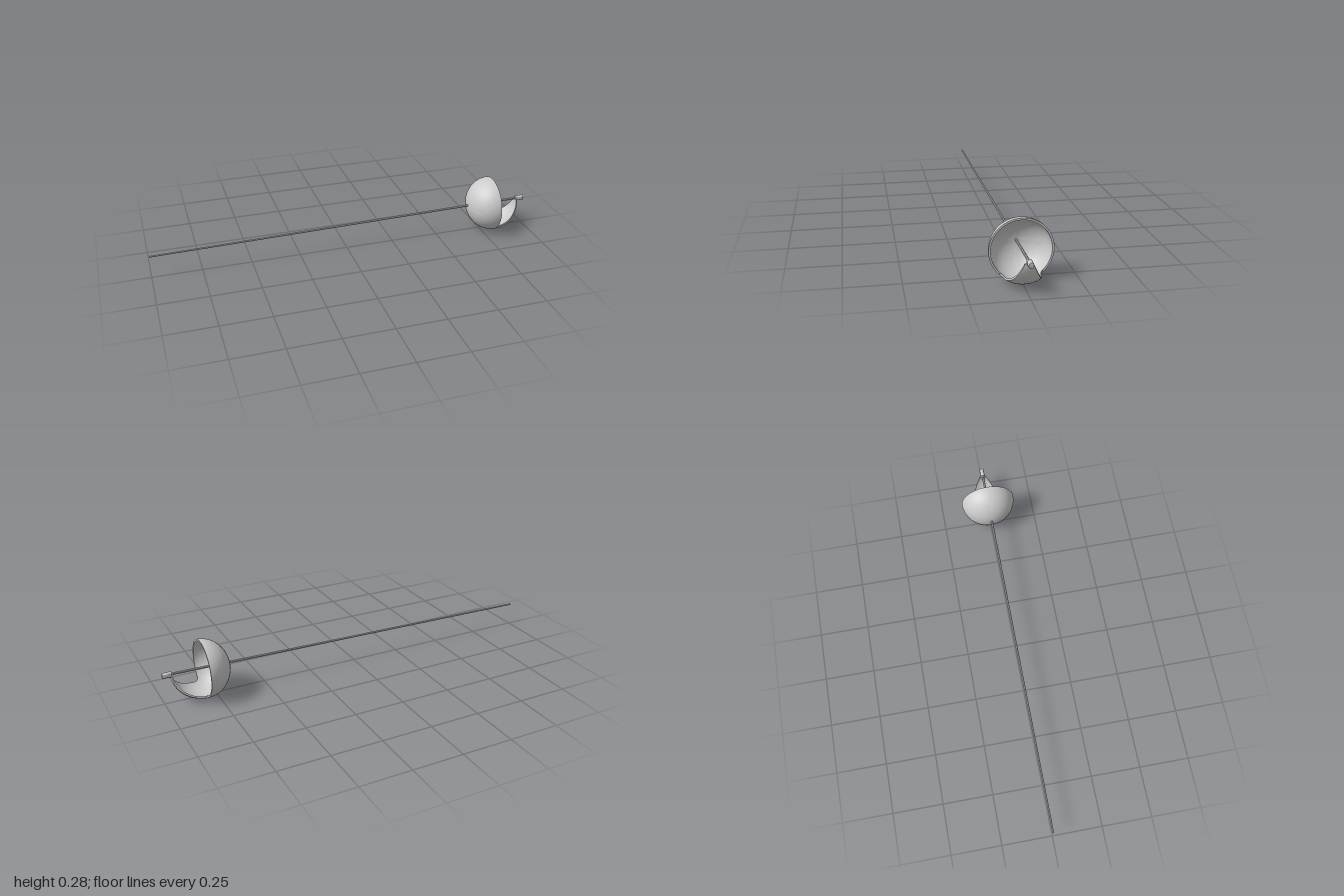
import * as THREE from 'three';
import { toCreasedNormals } from 'three/addons/utils/BufferGeometryUtils.js';

const material = new THREE.MeshStandardMaterial({ color: 0xcccccc });
const RIM_X = 0.807, CENTRE_Y = 0.143, RADIUS = 0.142, WALL = 0.009;
const TILT = 0.016; // slope of the blade

function addPart(group, name, geometry, crease = 0.7) {
  const mesh = new THREE.Mesh(toCreasedNormals(geometry, crease), material);
  mesh.name = name;
  group.add(mesh);
  return mesh;
}

// Hollow cup: outer arc, flat rim, inner arc, with its pole towards -x
function cupGeometry() {
  const profile = [];
  const arc = (radius, depth, from, to) => {
    for (let i = 0; i <= 24; i++) {
      const t = (from + (to - from) * i / 24) * Math.PI / 2;
      profile.push(new THREE.Vector2(radius * Math.sin(t), -depth * Math.cos(t)));
    }
  };
  arc(RADIUS, 0.132, 0, 1);
  arc(RADIUS - WALL, 0.132 - WALL, 1, 0);
  return new THREE.LatheGeometry(profile, 64).rotateZ(-Math.PI / 2);
}

// Knuckle bow: a slab bent over an ellipsoid, narrowing from rim to pommel
function bowGeometry() {
  const geometry = new THREE.BoxGeometry(1, 1, 1, 40, 1, 20);
  const p = geometry.attributes.position;
  for (let i = 0; i < p.count; i++) {
    const t = (p.getX(i) + 0.5) * 1.52;
    const inset = (p.getY(i) + 0.5) * (WALL - 0.002 * t);
    const halfWidth = RADIUS * Math.cos(t) * 0.56
      + 0.009 * Math.sin(t) ** 8 + 0.012 * Math.exp(-t / 0.05);
    const z = p.getZ(i) * 2 * halfWidth;
    const r = (RADIUS - inset) * Math.cos(t);
    const y = CENTRE_Y - Math.sqrt(Math.max(0, r * r - z * z));
    p.setXYZ(i, RIM_X + (0.153 - inset) * Math.sin(t), y, z);
  }
  return geometry;
}

// Rounded upright bar outline, extruded along x
function stadium(halfWidth, halfHeight, length) {
  const s = new THREE.Shape();
  const c = halfHeight - halfWidth;
  s.absarc(0, c, halfWidth, 0, Math.PI, false);
  s.absarc(0, -c, halfWidth, Math.PI, Math.PI * 2, false);
  return new THREE.ExtrudeGeometry(s, {
    depth: length, bevelEnabled: true, bevelSize: 0.002, bevelThickness: 0.002,
    bevelOffset: -0.002, bevelSegments: 2, curveSegments: 12,
  }).rotateY(Math.PI / 2);
}

export function createModel() {
  const group = new THREE.Group();
  group.name = 'sabre';

  // Guard
  addPart(group, 'cupGuard', cupGeometry()).position.set(RIM_X, CENTRE_Y, 0);
  addPart(group, 'knuckleBow', bowGeometry());

  // Blade and tang: one slim tapering rod from tip to pommel
  const blade = addPart(group, 'blade',
    new THREE.CylinderGeometry(0.0062, 0.0042, 1.965, 10).rotateZ(-Math.PI / 2));
  blade.position.set(-0.0175, 0.134, 0);
  blade.rotation.z = TILT;

  // Pommel with a collar where the bow meets it
  const pommel = addPart(group, 'pommel', stadium(0.011, 0.0135, 0.04));
  pommel.position.set(0.957, 0.148, 0);
  pommel.rotation.z = TILT;
  const collar = addPart(group, 'pommelCollar', stadium(0.0125, 0.0155, 0.008));
  collar.position.set(0.957, 0.147, 0);
  collar.rotation.z = TILT;

  return group;
}
